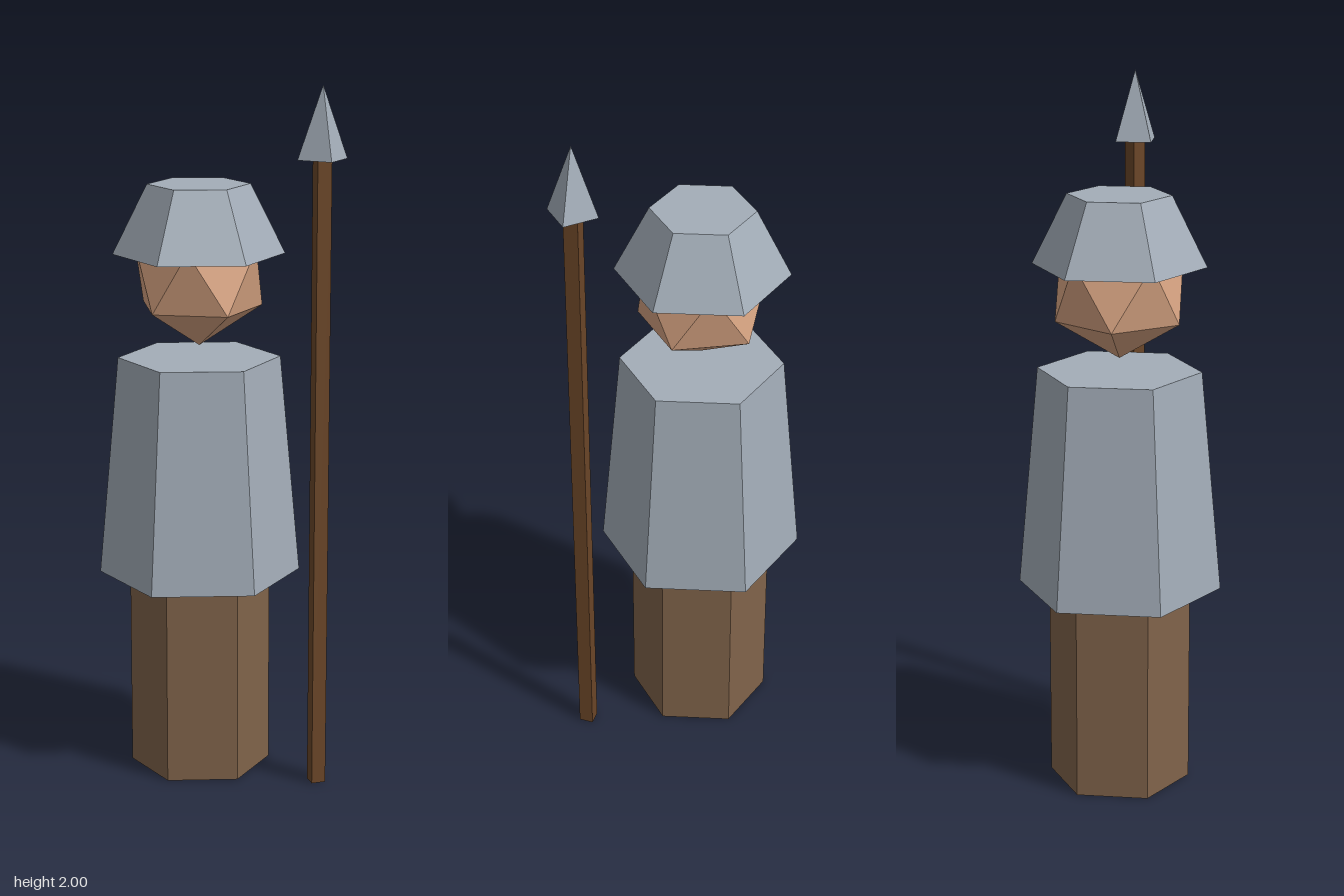
import * as THREE from 'three';

const mat = (color) => new THREE.MeshStandardMaterial({ color, flatShading: true });

export function createModel() {
  const steel = mat(0xa3adb8);
  const cloth = mat(0x80634a);
  const skin = mat(0xd9a583);
  const wood = mat(0x6b4628);

  const model = new THREE.Group();
  model.name = 'guard';

  // Adds a straight or tapered prism standing on height y0
  const prism = (parent, name, material, sides, rBottom, rTop, y0, y1, turn = 0) => {
    const geo = new THREE.CylinderGeometry(rTop, rBottom, y1 - y0, sides, 1, false, turn);
    const mesh = new THREE.Mesh(geo, material);
    mesh.name = name;
    mesh.position.y = (y0 + y1) / 2;
    parent.add(mesh);
  };

  // Figure: hexagonal legs, tunic and helmet
  const figure = new THREE.Group();
  figure.name = 'figure';
  figure.position.x = -0.09;
  model.add(figure);
  prism(figure, 'legs', cloth, 6, 0.202, 0.202, 0, 0.583);
  prism(figure, 'torso', steel, 6, 0.289, 0.231, 0.583, 1.217);
  prism(figure, 'helmet', steel, 6, 0.243, 0.145, 1.513, 1.71);

  // Head: icosahedron turned so that one corner points straight down
  const headGeo = new THREE.IcosahedronGeometry(0.202, 0);
  headGeo.rotateZ(-Math.atan2(1, (1 + Math.sqrt(5)) / 2));
  const head = new THREE.Mesh(headGeo, skin);
  head.name = 'head';
  head.position.y = 1.453;
  figure.add(head);

  // Spear: square shaft set cornerwise, with a pyramid point
  const spear = new THREE.Group();
  spear.name = 'spear';
  spear.position.x = 0.289;
  model.add(spear);
  prism(spear, 'shaft', wood, 4, 0.029, 0.029, 0, 1.8);
  prism(spear, 'spearhead', steel, 4, 0.072, 0, 1.8, 2, Math.PI / 4);

  return model;
}
